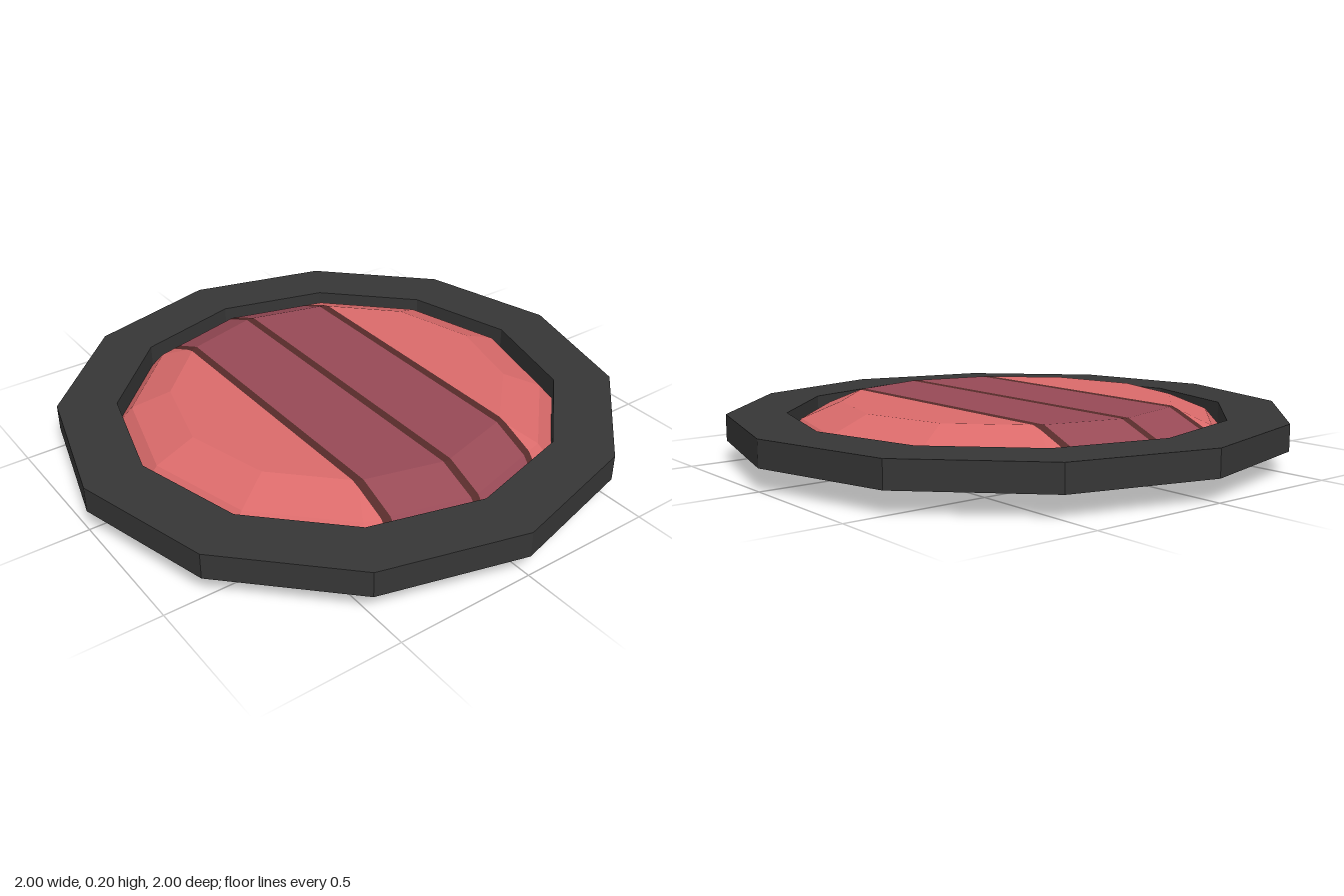
import * as THREE from 'three';

const SIDES = 12;
const material = (color) => new THREE.MeshStandardMaterial({ color, flatShading: true });

function addMesh(parent, name, geometry, mat) {
  const flat = geometry.index ? geometry.toNonIndexed() : geometry;
  flat.computeVertexNormals();
  const mesh = new THREE.Mesh(flat, mat);
  mesh.name = name;
  parent.add(mesh);
  return mesh;
}

const lathe = (points) =>
  new THREE.LatheGeometry(points.map(([r, y]) => new THREE.Vector2(r, y)), SIDES);

// Corner k of a twelve-sided ring
function corner(r, y, k) {
  const a = (k / SIDES) * Math.PI * 2;
  return new THREE.Vector3(r * Math.sin(a), y, r * Math.cos(a));
}

// Faces of the faceted dome: flat centre plus sloping bands
function domeFaces(profile) {
  const faces = [];
  for (let i = 0; i < profile.length - 1; i++) {
    const [r0, y0] = profile[i], [r1, y1] = profile[i + 1];
    for (let k = 0; k < SIDES; k++) {
      faces.push([corner(r0, y0, k), corner(r0, y0, k + 1), corner(r1, y1, k + 1), corner(r1, y1, k)]);
    }
  }
  const [r, y] = profile[profile.length - 1];
  faces.push(Array.from({ length: SIDES }, (_, k) => corner(r, y, k)));
  return faces;
}

// Keep the part of a convex polygon where sign * (x - limit) >= 0
function clip(poly, limit, sign) {
  const out = [];
  poly.forEach((a, i) => {
    const b = poly[(i + 1) % poly.length];
    const da = sign * (a.x - limit), db = sign * (b.x - limit);
    if (da >= 0) out.push(a);
    if (da * db < 0) out.push(a.clone().lerp(b, da / (da - db)));
  });
  return out;
}

// Slice of the dome between two x positions
function domeStrip(faces, x0, x1) {
  const points = [];
  for (const face of faces) {
    const p = clip(clip(face, x0, 1), x1, -1);
    for (let i = 1; i < p.length - 1; i++) points.push(p[0], p[i], p[i + 1]);
  }
  return new THREE.BufferGeometry().setFromPoints(points);
}

export function createModel() {
  const shield = new THREE.Group();
  shield.name = 'shield';

  const iron = material(0x363636);
  const red = material(0xdb6b6b);
  const darkRed = material(0x984a56);
  const seam = material(0x562b2a);
  const backWood = material(0x573819);
  const handleWood = material(0x7a4f2a);

  // Rim
  addMesh(shield, 'rim', lathe([[1, 0.075], [1, 0.168], [0.79, 0.168], [0.79, 0.075], [1, 0.075]]), iron);

  // Painted planks with dark seams between them
  const planks = new THREE.Group();
  planks.name = 'planks';
  shield.add(planks);
  const faces = domeFaces([[0.79, 0.09], [0.74, 0.147], [0.6, 0.205]]);
  const w = 0.015, s = 0.298;
  const strips = [
    ['rightPlank', -1, -s - w, red], ['rightSeam', -s - w, -s + w, seam],
    ['midRightPlank', -s + w, -w, darkRed], ['middleSeam', -w, w, seam],
    ['midLeftPlank', w, s - w, darkRed], ['leftSeam', s - w, s + w, seam],
    ['leftPlank', s + w, 1, red],
  ];
  for (const [name, x0, x1, mat] of strips) addMesh(planks, name, domeStrip(faces, x0, x1), mat);

  // Hollow wooden underside
  addMesh(shield, 'underside', lathe([[0, 0.145], [0.49, 0.145], [0.79, 0.09]]), backWood);

  // Grip: octagonal bar on two posts
  const handle = new THREE.Group();
  handle.name = 'handle';
  shield.add(handle);
  const radius = 0.04 / Math.cos(Math.PI / 8);
  const rod = (length) => new THREE.CylinderGeometry(radius, radius, length, 8).rotateY(Math.PI / 8);
  addMesh(handle, 'gripBar', rod(0.43).rotateZ(Math.PI / 2).translate(0, 0.04, 0), handleWood);
  for (const [name, side] of [['leftPost', 1], ['rightPost', -1]]) {
    addMesh(handle, name, rod(0.11).translate(side * 0.175, 0.095, 0), handleWood);
  }
  return shield;
}
